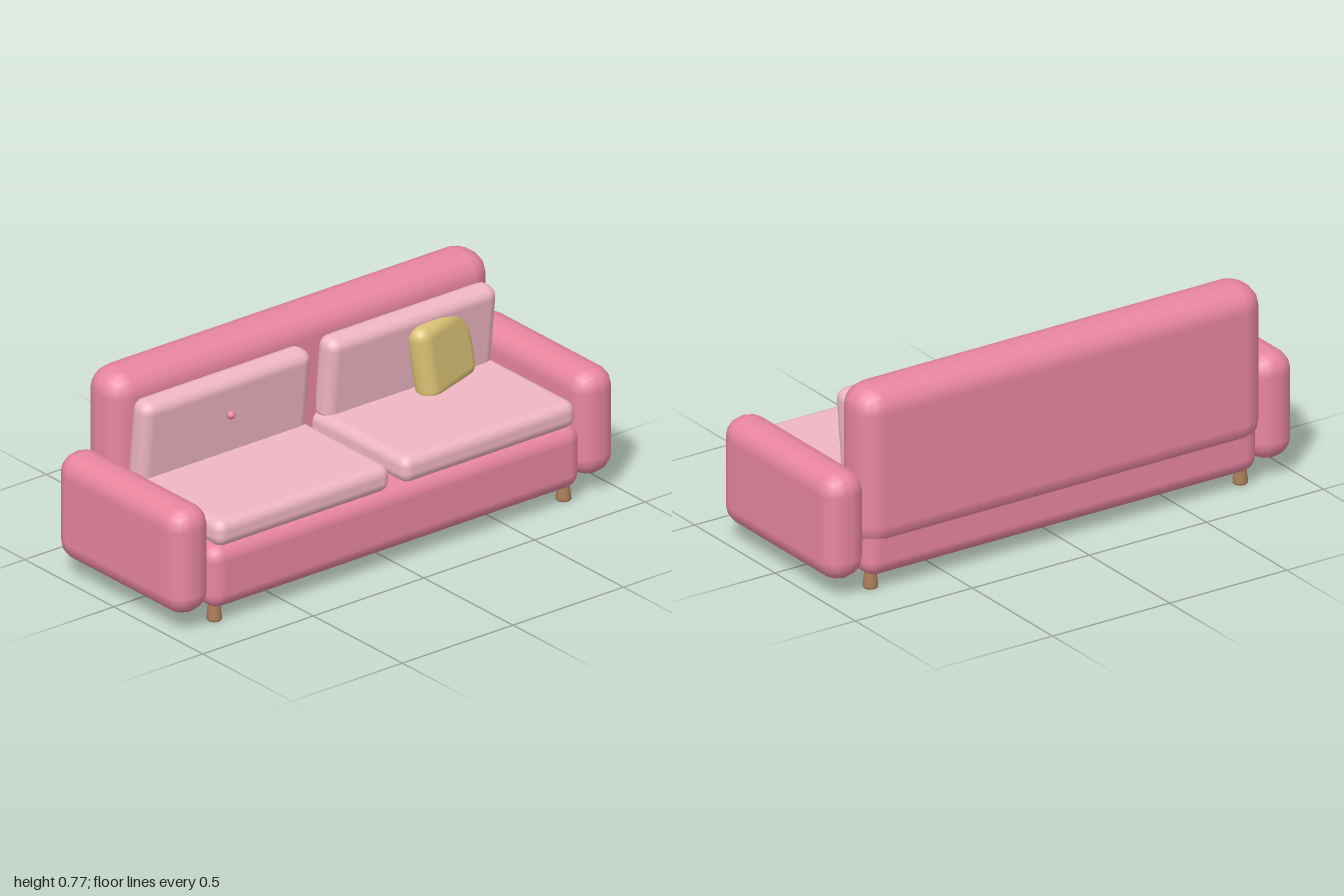
import * as THREE from 'three';
import { RoundedBoxGeometry } from 'three/addons/geometries/RoundedBoxGeometry.js';

const mat = (color) => new THREE.MeshStandardMaterial({ color });
const rose = mat(0xe8859f);
const pale = mat(0xf0b6c4);
const gold = mat(0xd9c073);
const wood = mat(0xa87d58);

export function createModel() {
  const sofa = new THREE.Group();
  sofa.name = 'sofa';

  const add = (name, geometry, material, x, y, z) => {
    const mesh = new THREE.Mesh(geometry, material);
    mesh.name = name;
    mesh.position.set(x, y, z);
    sofa.add(mesh);
    return mesh;
  };
  // Soft block given by its extents along x and y, and its centre and width along z
  const block = (name, material, [x0, x1], [y0, y1], z, width, radius) =>
    add(name, new RoundedBoxGeometry(x1 - x0, y1 - y0, width, 2, radius), material,
      (x0 + x1) / 2, (y0 + y1) / 2, z);

  // Frame: the seat faces +x
  block('base', rose, [-0.35, 0.36], [0.052, 0.3], 0, 1.68, 0.06);
  block('backrest', rose, [-0.365, -0.16], [0.16, 0.775], 0, 1.72, 0.092);

  // Foot profile, wider at the floor with a softened lower edge
  const footProfile = [[0, 0], [0.024, 0], [0.028, 0.004], [0.028, 0.01], [0.022, 0.06], [0.022, 0.08], [0, 0.08]]
    .map(([r, y]) => new THREE.Vector2(r, y));

  for (const side of [1, -1]) {
    block('armrest', rose, [-0.35, 0.363], [0.065, 0.48], side * 0.915, 0.17, 0.08);
    block('seatCushion', pale, [-0.2, 0.358], [0.293, 0.397], side * 0.42, 0.785, 0.04);

    // Back cushion leaning forward at the top
    const back = block('backCushion', pale, [-0.178, -0.078], [0.36, 0.696], side * 0.42, 0.76, 0.043);
    back.rotation.z = -0.11;

    add('button', new THREE.SphereGeometry(0.016, 12, 8), rose, -0.062, 0.553, side * 0.42);

    for (const x of [-0.288, 0.303]) {
      add('foot', new THREE.LatheGeometry(footProfile, 16), wood, x, 0, side * 0.79);
    }
  }

  // Throw pillow, turned and resting against the back cushion
  const pillow = add('throwPillow', new RoundedBoxGeometry(0.1, 0.29, 0.3, 3, 0.049), gold, -0.08, 0.51, -0.545);
  pillow.rotation.set(0.06, 0.29, 0.14, 'YZX');

  return sofa;
}
